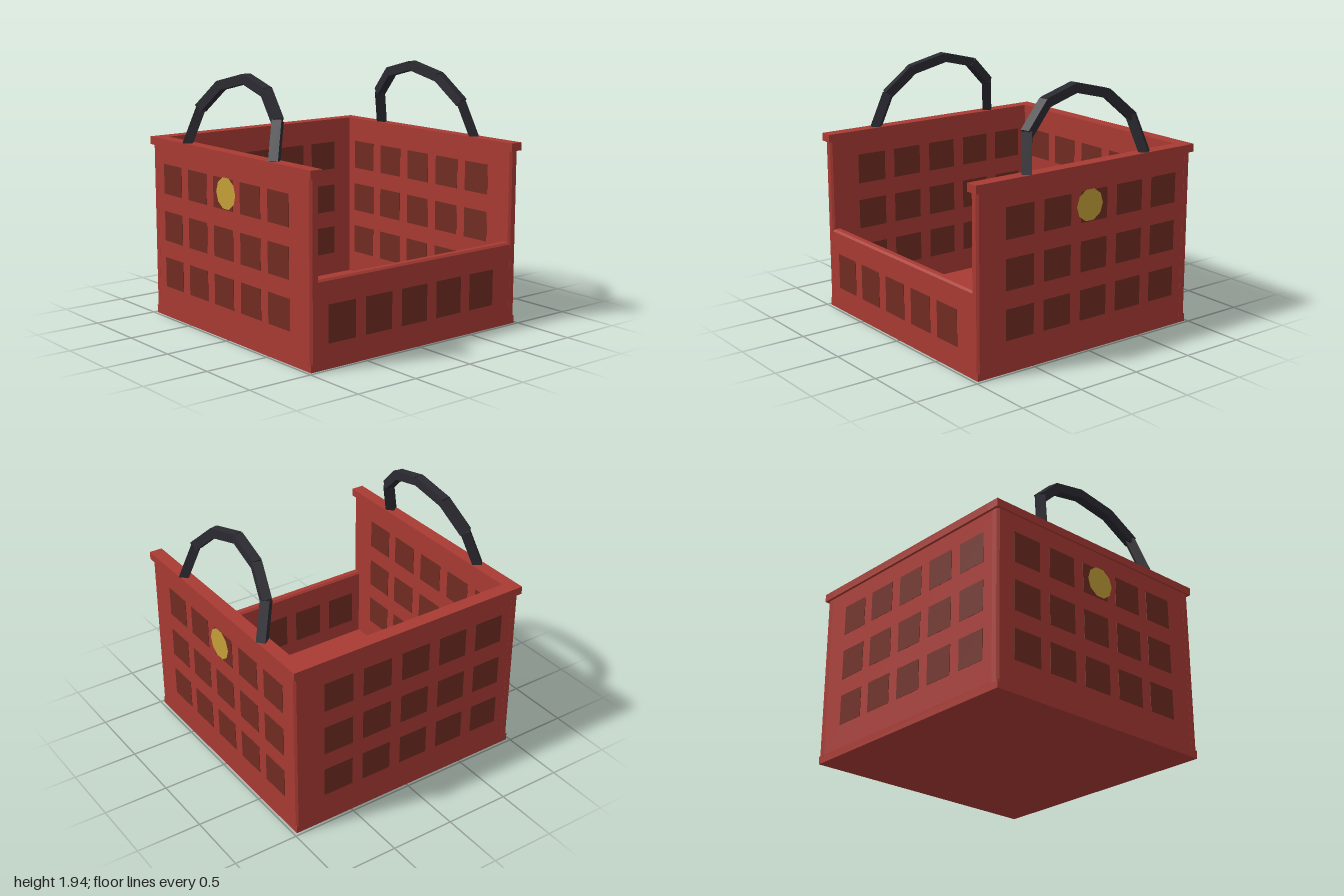
import * as THREE from 'three';

const mat = (name, color) => Object.assign(new THREE.MeshStandardMaterial({ color }), { name });

export function createModel() {
  const root = new THREE.Group();
  root.name = 'basket';
  const red = mat('red plastic', 0xa83a33);
  const brown = mat('dark opening', 0x702c22);
  const gold = mat('gold badge', 0xc49f38);
  const black = mat('black handle', 0x2a2a31);

  const add = (parent, name, geometry, material, x = 0, y = 0, z = 0) => {
    const mesh = new THREE.Mesh(geometry, material);
    mesh.name = name;
    mesh.position.set(x, y, z);
    parent.add(mesh);
    return mesh;
  };
  const box = (parent, name, material, w, h, d, x, y, z) =>
    add(parent, name, new THREE.BoxGeometry(w, h, d), material, x, y, z);

  // Floor slab
  box(root, 'floor', red, 1.954, 0.06, 1.954, 0, 0.03, 0);

  // Bevelled wall panels, drawn facing +z and turned into place
  const full = [[-0.963, 0.06], [0.963, 0.06], [0.963, 1.335], [-0.963, 1.335]];
  const low = [[-0.963, 0.06], [0.963, 0.06], [0.963, 1.335], [0.92, 1.335],
    [0.92, 0.62], [-0.92, 0.62], [-0.92, 1.335], [-0.963, 1.335]];
  const columns = [-0.71, -0.378, -0.045, 0.288, 0.617];

  // mirror flips the offset grid of openings, rows are [centre y, height]
  function wall(name, outline, turn, mirror, rows) {
    const group = new THREE.Group();
    group.name = name;
    group.rotation.y = turn;
    const shape = new THREE.Shape(outline.map(([x, y]) => new THREE.Vector2(x, y)));
    add(group, name + 'Panel', new THREE.ExtrudeGeometry(shape, {
      depth: 0.042, bevelThickness: 0.015, bevelSize: 0.015, bevelSegments: 1,
    }), red, 0, 0, 0.92);
    // Openings pass through the panel and show on both faces
    for (const [y, h] of rows) {
      for (const c of columns) {
        box(group, 'opening', brown, 0.242, h, 0.078, mirror * c, y, 0.941);
      }
    }
    root.add(group);
    return group;
  }
  const rows = [[1.082, 0.23], [0.717, 0.23], [0.355, 0.23]];
  const front = wall('frontWall', full, 0, 1, rows);
  const back = wall('backWall', full, Math.PI, -1, rows);
  wall('rightWall', full, -Math.PI / 2, -1, rows);
  wall('lowLeftWall', low, Math.PI / 2, 1, [[0.318, 0.275]]);

  // Ten-sided badges on front and back
  for (const side of [front, back]) {
    const disc = new THREE.CircleGeometry(0.12, 10);
    add(side, 'badge', disc, gold, 0, 1.09, 0.985);
  }

  // Rim on three sides
  for (const s of [1, -1]) box(root, 'rim', red, 1.994, 0.06, 0.1, 0, 1.36, s * 0.942);
  box(root, 'sideRim', red, 0.106, 0.06, 1.79, -0.944, 1.36, 0);

  // Arched handles of six straight segments, leaning inward
  const half = [[-0.54, 1.385, 0.95], [-0.475, 1.65, 0.87], [-0.28, 1.83, 0.82], [0, 1.9, 0.795]];
  const path = [...half, ...half.slice(0, 3).reverse().map(([x, y, z]) => [-x, y, z])];
  for (const s of [1, -1]) {
    const handle = new THREE.Group();
    handle.name = s > 0 ? 'frontHandle' : 'backHandle';
    const pts = path.map(([x, y, z]) => new THREE.Vector3(x, y, s * z));
    for (let i = 0; i < pts.length - 1; i++) {
      const a = pts[i], b = pts[i + 1];
      const seg = box(handle, 'handleSegment', black, 0.07, 0.07, a.distanceTo(b) + 0.01, 0, 0, 0);
      seg.position.copy(a).lerp(b, 0.5);
      seg.lookAt(b);
    }
    root.add(handle);
  }
  return root;
}
